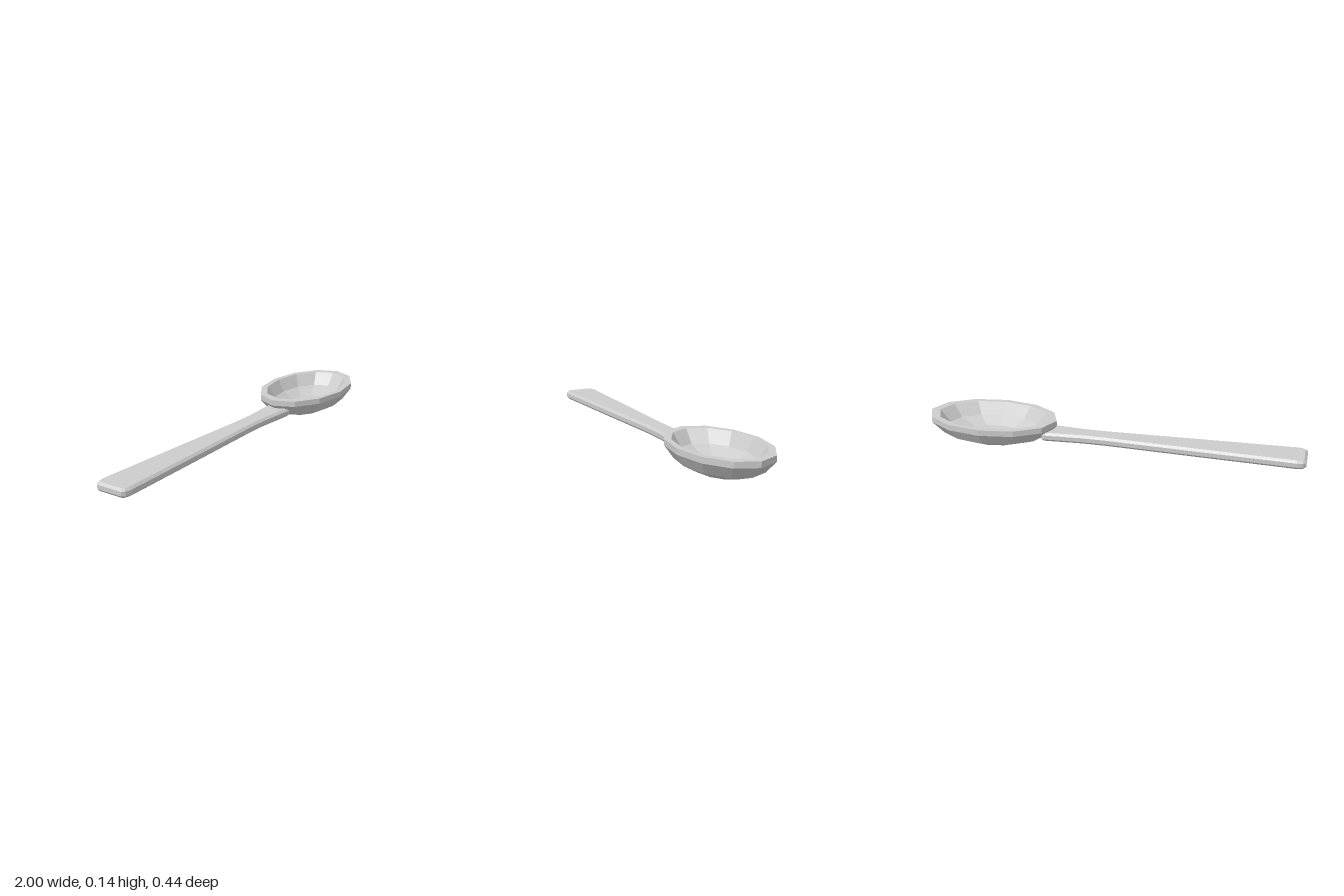
import * as THREE from 'three';

export function createModel() {
  const group = new THREE.Group();
  const material = new THREE.MeshStandardMaterial({ color: 0xcccccc, flatShading: true });

  // Bowl: one closed profile (outside, rim, inside), turned and stretched to an oval
  const profile = [
    [0, 0.001], [0.11, 0.012], [0.18, 0.05], [0.22, 0.11], [0.22, 0.14],
    [0.19, 0.14], [0.155, 0.075], [0.095, 0.038], [0, 0.028],
  ].map(([r, y]) => new THREE.Vector2(r, y));
  const bowl = new THREE.Mesh(new THREE.LatheGeometry(profile, 12), material);
  bowl.name = 'bowl';
  bowl.scale.x = 1.6;
  bowl.position.x = 0.648;
  group.add(bowl);

  // Handle: mirrored outline, extruded upwards with a chamfered edge
  const side = [
    [-1, 0.07], [-0.985, 0.084], [-0.955, 0.091], [-0.4, 0.07],
    [0.02, 0.053], [0.14, 0.053], [0.36, 0.068],
  ];
  const outline = [
    ...side.map(([x, z]) => new THREE.Vector2(x, -z)),
    ...side.map(([x, z]) => new THREE.Vector2(x, z)).reverse(),
  ];
  const bevel = 0.012;
  const handleGeometry = new THREE.ExtrudeGeometry(new THREE.Shape(outline), {
    depth: 0.022,
    bevelThickness: bevel,
    bevelSize: bevel,
    bevelOffset: -bevel,
    bevelSegments: 1,
  });
  handleGeometry.rotateX(-Math.PI / 2);
  const handle = new THREE.Mesh(handleGeometry, material);
  handle.name = 'handle';
  handle.position.y = 0.045 + bevel;
  group.add(handle);

  return group;
}
